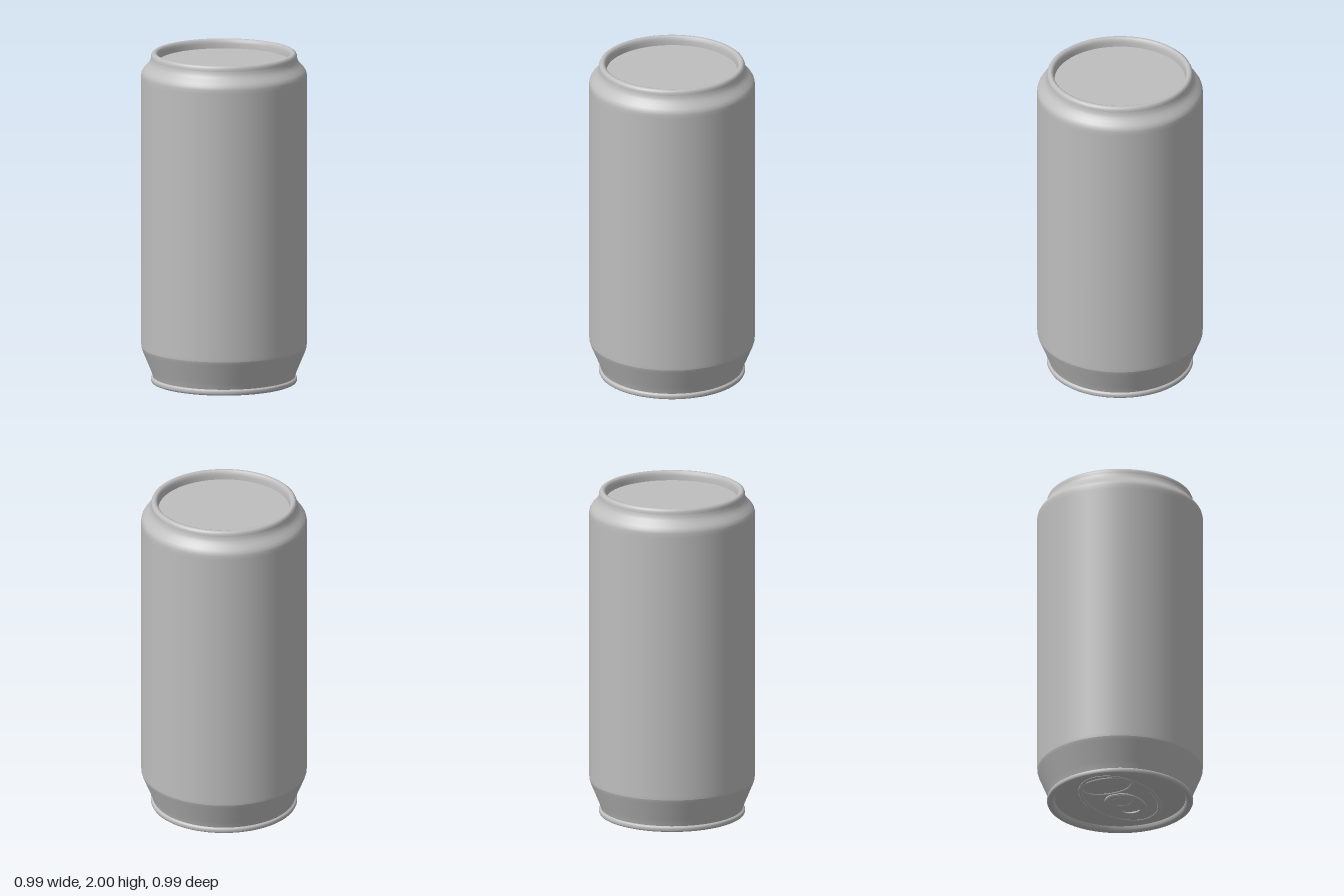
import * as THREE from 'three';

const SEGMENTS = 96;
const LID_Y = 0.03; // the lid is underneath: the can stands upside down

export function createModel() {
  const can = new THREE.Group();
  can.name = 'drinkCan';
  const aluminium = new THREE.MeshStandardMaterial({ color: 0xbebebe });
  aluminium.name = 'aluminium';

  const add = (name, geometry, parent = can) => {
    const mesh = new THREE.Mesh(geometry, aluminium);
    mesh.name = name;
    parent.add(mesh);
    return mesh;
  };
  // Profiles are [radius, height], running from the underside outward and up
  const lathe = (name, profile) => add(name, new THREE.LatheGeometry(
    profile.map(([r, y]) => new THREE.Vector2(r, y)), SEGMENTS));

  // Lid panel and its seamed rim
  lathe('lidPanel', [[0, LID_Y], [0.39, LID_Y]]);
  lathe('lidRim', [
    [0.39, LID_Y], [0.393, 0.014], [0.4, 0.004], [0.41, 0], [0.422, 0],
    [0.431, 0.004], [0.435, 0.012], [0.435, 0.024], [0.432, 0.031], [0.422, 0.036],
  ]);

  // Tapered end, straight wall and rounded shoulder
  lathe('taper', [[0.422, 0.034], [0.426, 0.045], [0.436, 0.075], [0.486, 0.195], [0.492, 0.215]]);
  lathe('wall', [
    [0.492, 0.215], [0.493, 0.235], [0.493, 1.84], [0.493, 1.865], [0.489, 1.882],
    [0.479, 1.898], [0.46, 1.918], [0.446, 1.935], [0.438, 1.952], [0.435, 1.968],
  ]);

  // Standing ring and sunken base on the upper end
  lathe('baseRing', [
    [0.435, 1.968], [0.434, 1.982], [0.429, 1.993], [0.421, 1.999], [0.412, 2],
    [0.403, 1.997], [0.396, 1.988], [0.392, 1.972], [0.39, 1.945],
  ]);
  lathe('basePanel', [[0.39, 1.945], [0, 1.945]]);

  // Opening details on the lid, in the plane of the lid with depth pointing down
  const opener = new THREE.Group();
  opener.name = 'opener';
  opener.position.y = LID_Y;
  opener.rotation.x = Math.PI / 2;
  can.add(opener);

  const bead = (name, x, rx, ry, width, height) => {
    const points = [];
    for (let i = 0; i < 48; i++) {
      const a = (i / 48) * Math.PI * 2;
      points.push(new THREE.Vector3(x + rx * Math.cos(a), ry * Math.sin(a), 0));
    }
    const path = new THREE.CatmullRomCurve3(points, true);
    const mesh = add(name, new THREE.TubeGeometry(path, 72, width, 8, true), opener);
    mesh.scale.z = height / width;
  };
  bead('panelBead', 0, 0.33, 0.21, 0.012, 0.004);
  bead('mouthBead', -0.19, 0.105, 0.16, 0.01, 0.008);

  // Pull tab with a finger hole
  const tabShape = new THREE.Shape();
  tabShape.absellipse(0.08, 0, 0.16, 0.11, 0, Math.PI * 2);
  const fingerHole = new THREE.Path();
  fingerHole.absellipse(0.155, 0, 0.045, 0.06, 0, Math.PI * 2, true);
  tabShape.holes.push(fingerHole);
  const tab = add('pullTab', new THREE.ExtrudeGeometry(tabShape, {
    depth: 0.006, bevelEnabled: true, bevelThickness: 0.004, bevelSize: 0.006,
    bevelSegments: 3, curveSegments: 32,
  }), opener);
  tab.position.z = 0.005;

  // Rivet and the pressed ring around it
  const rivet = add('rivet', new THREE.SphereGeometry(0.045, 32, 16), opener);
  rivet.scale.z = 0.22;
  rivet.position.z = 0.014;
  const rivetRing = add('rivetRing', new THREE.TorusGeometry(0.075, 0.008, 8, 40), opener);
  rivetRing.scale.z = 0.5;
  rivetRing.position.z = 0.014;

  return can;
}
